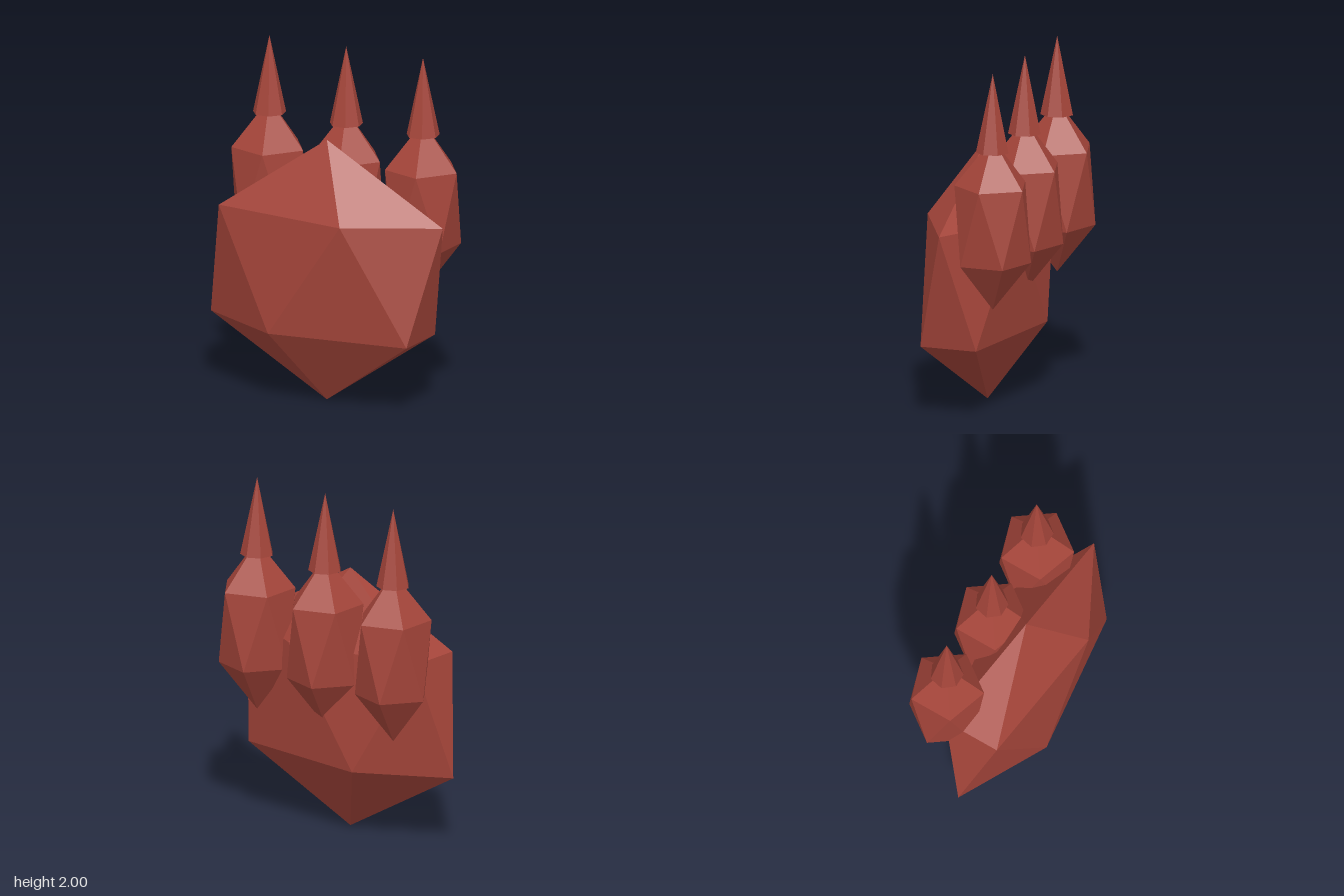
import * as THREE from 'three';

// Icosahedron standing on a vertex, scaled to half-extents of its rings and poles
function crystal(ringX, height, ringZ) {
  const g = new THREE.IcosahedronGeometry(1, 0);
  g.rotateZ(-Math.atan(2 / (1 + Math.sqrt(5))));
  const ring = 2 / Math.sqrt(5); // radius of the five-vertex rings
  g.scale(ringX / ring, height, ringZ / ring);
  g.computeVertexNormals();
  return g;
}

export function createModel() {
  const group = new THREE.Group();
  const red = new THREE.MeshStandardMaterial({ color: 0xa5453a, flatShading: true });
  red.name = 'brick red';

  const add = (name, geometry, x, y, z) => {
    const mesh = new THREE.Mesh(geometry, red);
    mesh.name = name;
    mesh.position.set(x, y, z);
    group.add(mesh);
  };

  // Wide, flattened palm
  add('palm', crystal(0.74, 0.755, 0.284), 0, 0.757, 0.08);

  // Three fingers, each tipped with a seven-sided claw
  const fingerGeometry = crystal(0.215, 0.492, 0.215);
  const clawGeometry = new THREE.ConeGeometry(0.095, 0.45, 7).rotateY(Math.PI);
  [['right', -0.49], ['middle', 0], ['left', 0.49]].forEach(([side, x]) => {
    add(side + 'Finger', fingerGeometry, x, 1.135, -0.145);
    add(side + 'Claw', clawGeometry, x, 1.775, -0.145);
  });

  return group;
}
